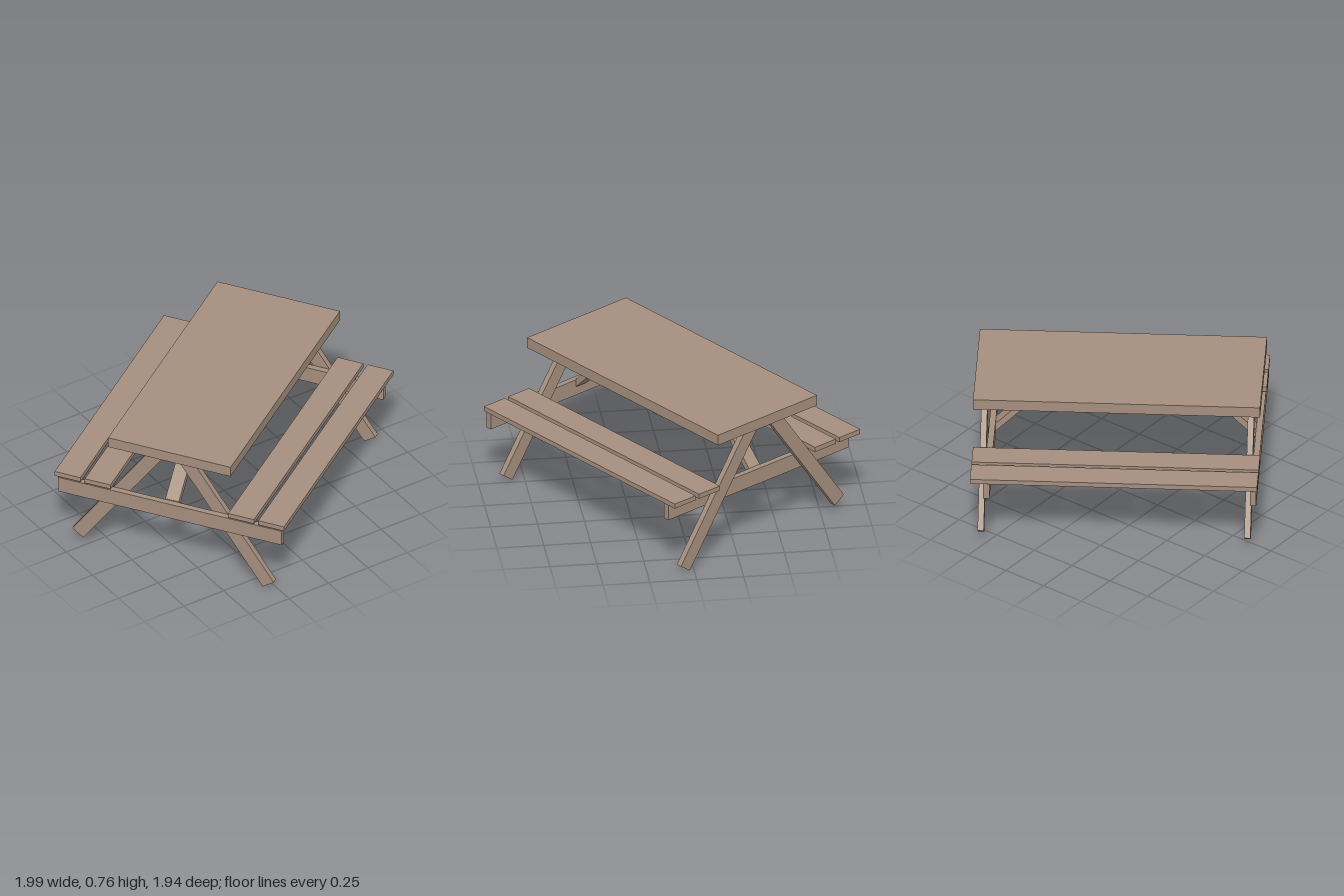
import * as THREE from 'three';

const wood = new THREE.MeshStandardMaterial({ color: 0xa58f7e });
wood.name = 'weathered wood';

const UNDER_TOP = 0.70; // underside of the table top
const T = 0.033;        // board thickness
const W = 0.077;        // board width

export function createModel() {
  const table = new THREE.Group();
  table.name = 'picnicTable';

  const add = (name, geometry) => {
    const mesh = new THREE.Mesh(geometry, wood);
    mesh.name = name;
    table.add(mesh);
    return mesh;
  };
  const board = (name, sx, y0, y1, sz, x, z) =>
    add(name, new THREE.BoxGeometry(sx, y1 - y0, sz)).position.set(x, (y0 + y1) / 2, z);
  // Board with a polygonal side outline, centred on its thickness
  const cutBoard = (name, points, depth) => {
    const shape = new THREE.Shape(points.map(([x, y]) => new THREE.Vector2(x, y)));
    const g = new THREE.ExtrudeGeometry(shape, { depth, bevelEnabled: false });
    return add(name, g.translate(0, 0, -depth / 2));
  };

  // Table top and two planks for each bench
  board('tableTop', 1.52, UNDER_TOP, 0.76, 0.70, 0, 0);
  for (const side of [-1, 1]) {
    board('outerSeatPlank', 1.52, 0.428, 0.455, 0.147, 0, side * 0.582);
    board('innerSeatPlank', 1.52, 0.428, 0.455, 0.147, 0, side * 0.41);
  }

  // Leg: square cut at the foot, level cut under the top
  const leg = (name, x, topZ, footZ, footY) => {
    const dz = footZ - topZ, dy = footY - UNDER_TOP, len = Math.hypot(dz, dy);
    const nz = (-dy / len) * W / 2, ny = (dz / len) * W / 2; // half-width offset across the leg
    const half = W / 2 * len / -dy;                          // half-width of the level cut
    const mesh = cutBoard(name, [
      [topZ - half, UNDER_TOP], [footZ - nz, footY - ny],
      [footZ + nz, footY + ny], [topZ + half, UNDER_TOP],
    ], T);
    mesh.rotation.y = -Math.PI / 2; // outline runs along z
    mesh.position.x = x;
  };

  // Brace: upright cut against the beam, level cut under the top, 45 degree slope
  const brace = (x, dir, y) => {
    const h = 0.047, rise = UNDER_TOP - y;
    cutBoard('brace', [
      [x, y], [x, y + h], [x + dir * (rise - h), UNDER_TOP], [x + dir * rise, UNDER_TOP],
    ], W);
  };

  // Two end frames, each with its beam on the same side of the legs
  for (const x of [-0.704, 0.708]) {
    leg('frontLeg', x, 0.075, 0.549, 0.023);
    leg('backLeg', x, -0.087, -0.54, 0.06);
    board('crossBeam', T, 0.328, 0.418, 1.28, x - 0.034, 0);
  }
  brace(-0.722, 1, 0.376);
  brace(0.657, -1, 0.37);

  // The whole table stands at an angle
  table.rotation.y = THREE.MathUtils.degToRad(34.1);
  const root = new THREE.Group();
  root.name = 'model';
  root.add(table);
  return root;
}
